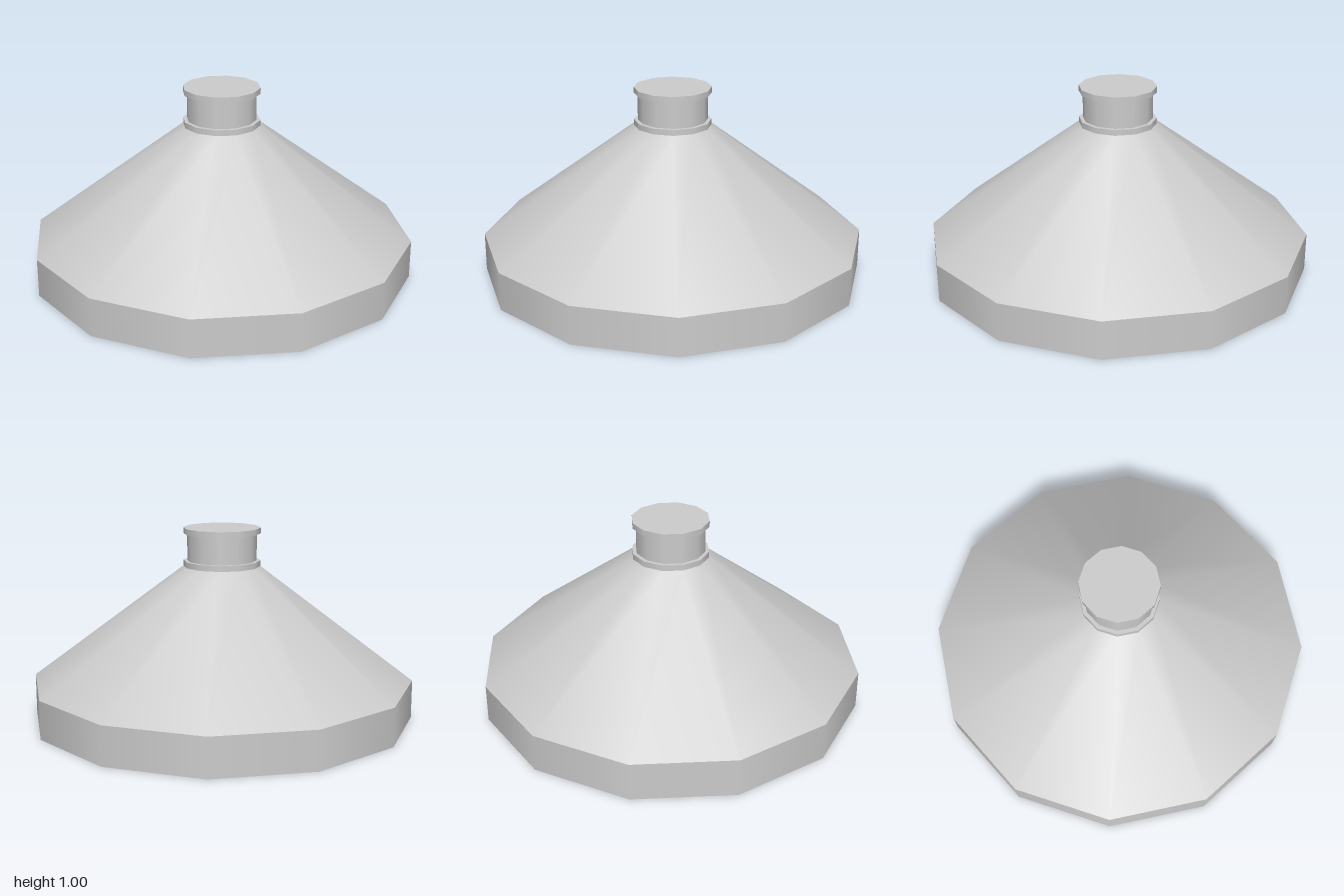
import * as THREE from 'three';

const SIDES = 12;

export function createModel() {
  const model = new THREE.Group();
  const material = new THREE.MeshStandardMaterial({ color: 0xcccccc });

  // Adds one twelve-sided section standing between two heights
  function addSection(name, bottomRadius, topRadius, y0, y1, open = false) {
    const geometry = new THREE.CylinderGeometry(topRadius, bottomRadius, y1 - y0, SIDES, 1, open);
    const mesh = new THREE.Mesh(geometry, material);
    mesh.name = name;
    mesh.position.y = (y0 + y1) / 2;
    model.add(mesh);
  }

  // Wide base band and sloping shoulder
  addSection('base', 1, 1, 0, 0.2);
  addSection('shoulder', 1, 0.2, 0.2, 0.8, true);

  // Neck held between two slightly wider rims
  addSection('lowerRim', 0.2, 0.2, 0.8, 0.83);
  addSection('neck', 0.18, 0.18, 0.83, 0.97, true);
  addSection('upperRim', 0.2, 0.2, 0.97, 1);

  return model;
}
